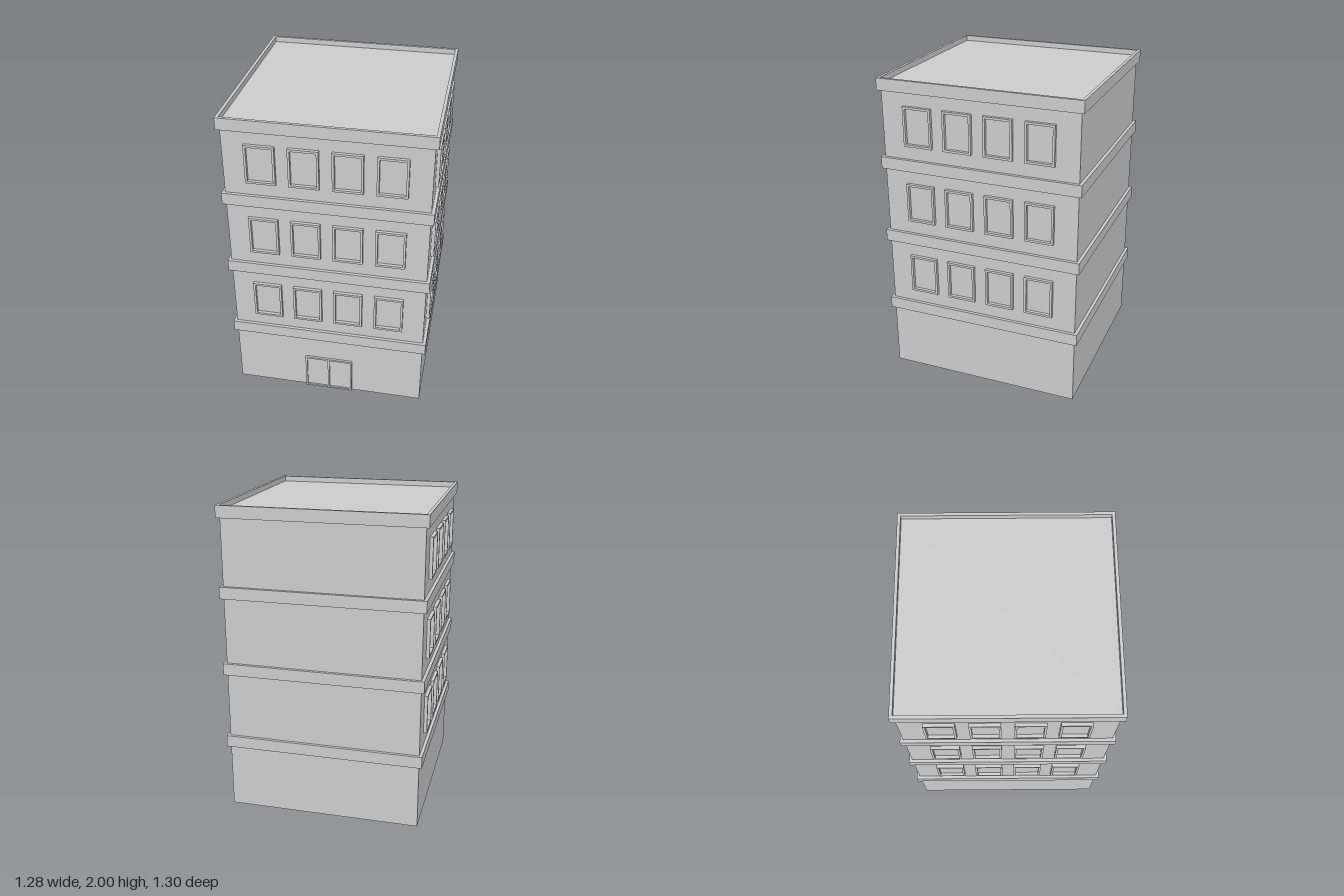
import * as THREE from 'three';

const W = 1.24, D = 1.26, ROOF = 1.965; // wall footprint and roof deck height
const BAND_H = 0.076, OUT = 0.02; // ledge height and overhang
const FLOORS = [0.5, 1.0, 1.5, 2.0]; // tops of the ledges

const rect = (Type, x0, y0, x1, y1) => {
  const p = new Type();
  p.moveTo(x0, y0);
  p.lineTo(x1, y0);
  p.lineTo(x1, y1);
  p.lineTo(x0, y1);
  p.closePath();
  return p;
};

// Rectangular plate with rectangular openings, extruded along +z
function frameGeometry(outer, openings, depth) {
  const shape = rect(THREE.Shape, ...outer);
  openings.forEach((o) => shape.holes.push(rect(THREE.Path, ...o)));
  return new THREE.ExtrudeGeometry(shape, { depth, bevelEnabled: false });
}

export function createModel() {
  const model = new THREE.Group();
  model.name = 'building';
  const mat = new THREE.MeshStandardMaterial({ color: 0xcccccc, flatShading: true });
  const add = (parent, geometry, name, x = 0, y = 0, z = 0) => {
    const mesh = new THREE.Mesh(geometry, mat);
    mesh.name = name;
    mesh.position.set(x, y, z);
    parent.add(mesh);
    return mesh;
  };

  // Main block, its top is the sunken roof deck
  add(model, new THREE.BoxGeometry(W, ROOF, D), 'walls', 0, ROOF / 2, 0);

  // Ledges around every floor; the highest one is the parapet
  const w = W / 2, d = D / 2;
  const ring = frameGeometry([-w - OUT, -d - OUT, w + OUT, d + OUT], [[-w, -d, w, d]], BAND_H);
  ring.rotateX(-Math.PI / 2);
  FLOORS.forEach((top, i) =>
    add(model, ring, i === FLOORS.length - 1 ? 'parapet' : 'floorLedge', 0, top - BAND_H, 0));

  // Window frames: three rows of four on the front and both sides
  const hw = 0.092, hh = 0.126, t = 0.014;
  const frame = frameGeometry([-hw, -hh, hw, hh], [[-hw + t, -hh + t, hw - t, hh - t]], 0.021);
  const sides = [
    ['frontWindows', 0, d],
    ['leftWindows', Math.PI / 2, w],
    ['rightWindows', -Math.PI / 2, w],
  ];
  for (const [name, angle, distance] of sides) {
    const group = new THREE.Group();
    group.name = name;
    group.rotation.y = angle;
    for (let row = 0; row < 3; row++) {
      for (let col = 0; col < 4; col++) {
        add(group, frame, 'windowFrame', (col - 1.5) * 0.261, 0.714 + row * 0.5, distance);
      }
    }
    model.add(group);
  }

  // Double entrance door: frame with two slightly recessed leaves
  const door = new THREE.Group();
  door.name = 'entranceDoor';
  door.position.z = d;
  const dw = 0.158, dh = 0.258, dt = 0.012;
  add(door, frameGeometry([-dw, 0, dw, dh], [
    [-dw + dt, dt, -dt / 2, dh - dt],
    [dt / 2, dt, dw - dt, dh - dt],
  ], 0.014), 'doorFrame');
  for (const s of [-1, 1]) {
    add(door, new THREE.BoxGeometry(dw - dt * 1.5, dh - 2 * dt, 0.004), 'doorLeaf',
      s * (dw - dt / 2) / 2, dh / 2, 0.002);
  }
  model.add(door);

  return model;
}
